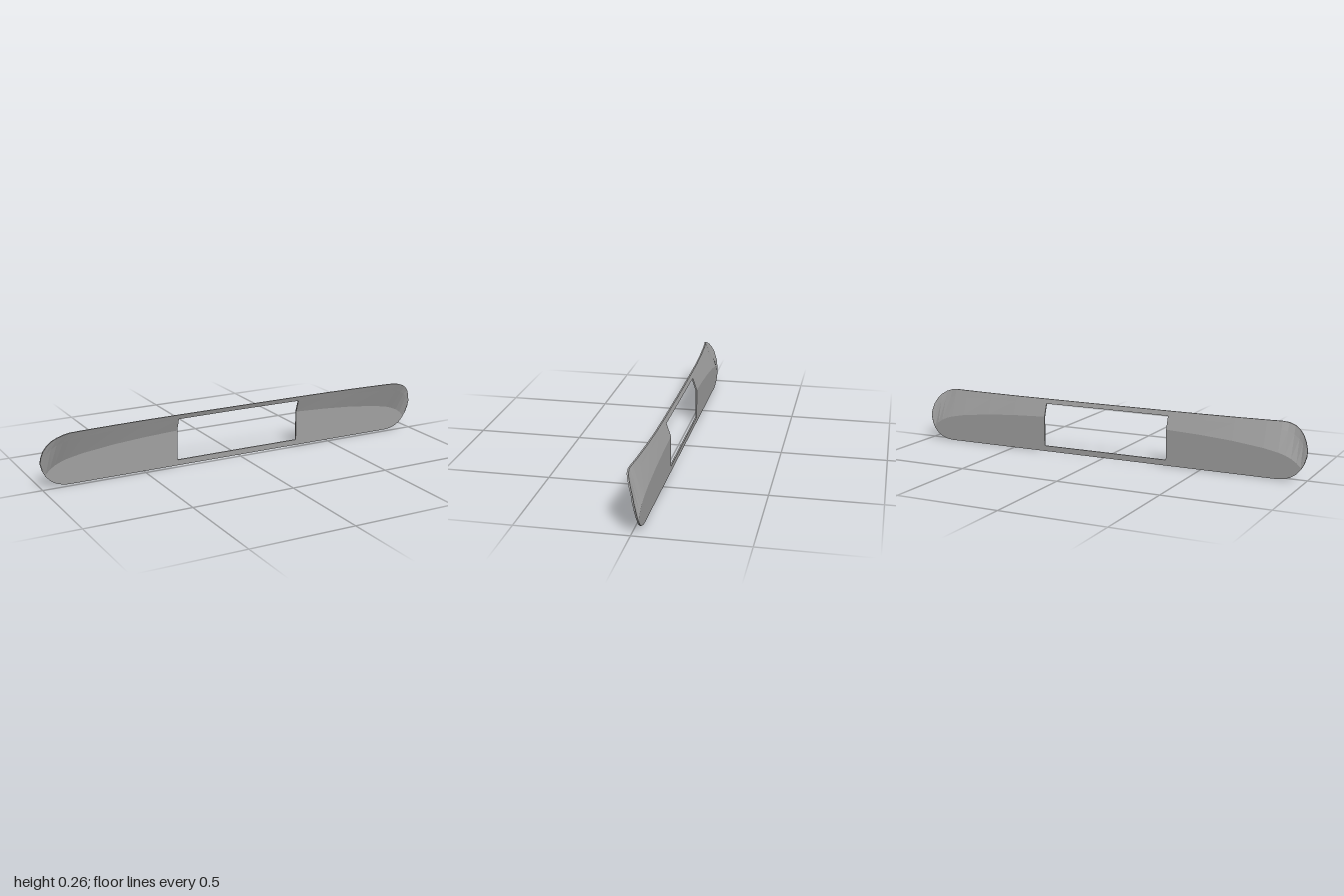
import * as THREE from 'three';

// Cross-sections of one half: x, bottom y, fold y, top y, front z below the fold, front z at the top
const SECTIONS = [
  [0, 0, 0.177, 0.257, -0.023, 0.005],
  [0.325, 0, 0.173, 0.257, -0.023, 0.006],
  [0.5, 0, 0.165, 0.257, -0.023, 0.008],
  [0.65, 0, 0.154, 0.257, -0.023, 0.013],
  [0.8, 0, 0.136, 0.257, -0.023, 0.021],
  [0.87, 0, 0.122, 0.257, -0.023, 0.027],
  [0.9, 0.004, 0.113, 0.253, -0.023, 0.031],
  [0.93, 0.014, 0.1, 0.243, -0.023, 0.029],
  [0.955, 0.03, 0.083, 0.227, -0.023, 0.02],
  [0.975, 0.053, 0.063, 0.205, -0.023, 0.01],
  [0.99, 0.08, 0.086, 0.177, -0.02, -0.001],
  [1, 0.115, 0.12, 0.142, -0.015, -0.009],
];
const THICKNESS = 0.007;
const HOLE = 0.325; // half width of the opening

export function createModel() {
  const group = new THREE.Group();
  group.name = 'foldedPanel';
  const gray = new THREE.MeshStandardMaterial({ color: 0xa0a0a0 });
  gray.name = 'matte gray';
  gray.flatShading = true;

  // Mirror the sections, then turn each into five points from bottom to top
  const all = [
    ...SECTIONS.slice(1).reverse().map(([x, ...rest]) => [-x, ...rest]),
    ...SECTIONS,
  ];
  const lerp = THREE.MathUtils.lerp;
  const columns = all.map(([x, bottom, fold, top, zLow, zTop]) => [
    [x, bottom, zLow],
    [x, lerp(bottom, fold, 0.155), zLow],
    [x, fold, zLow],
    [x, lerp(fold, top, 0.73), lerp(zLow, zTop, 0.73)],
    [x, top, zTop],
  ]);

  // A cell is solid unless it lies outside the panel or in the opening
  const solid = (i, j) => {
    if (i < 0 || j < 0 || i >= columns.length - 1 || j > 3) return false;
    const middle = (all[i][0] + all[i + 1][0]) / 2;
    return !(Math.abs(middle) < HOLE && (j === 1 || j === 2));
  };

  const positions = [];
  const quad = (a, b, c, d) => positions.push(...a, ...b, ...c, ...a, ...c, ...d);
  const back = ([x, y, z]) => [x, y, z - THICKNESS];

  for (let i = 0; i < columns.length - 1; i++) {
    for (let j = 0; j < 4; j++) {
      if (!solid(i, j)) continue;
      const p = [columns[i][j], columns[i + 1][j], columns[i + 1][j + 1], columns[i][j + 1]];
      const neighbours = [[i, j - 1], [i + 1, j], [i, j + 1], [i - 1, j]];
      // Front and back skins
      quad(...p);
      quad(...p.map(back).reverse());
      // Rim walls along the outline and the opening
      neighbours.forEach(([ni, nj], k) => {
        if (solid(ni, nj)) return;
        const a = p[k];
        const b = p[(k + 1) % 4];
        quad(back(a), back(b), b, a);
      });
    }
  }

  const geometry = new THREE.BufferGeometry();
  geometry.setAttribute('position', new THREE.Float32BufferAttribute(positions, 3));
  geometry.computeVertexNormals();
  const panel = new THREE.Mesh(geometry, gray);
  panel.name = 'panel';
  group.add(panel);
  return group;
}
